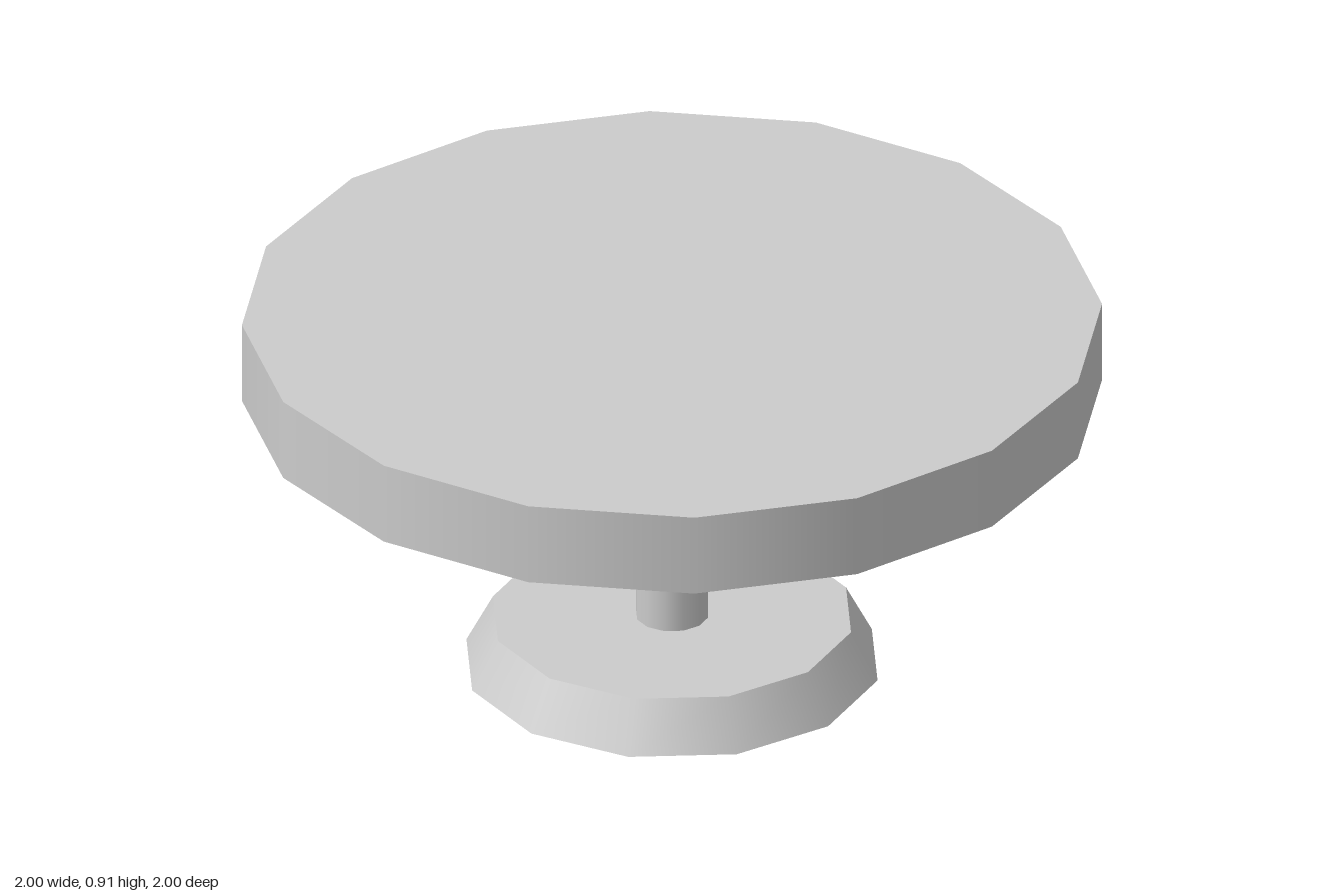
import * as THREE from 'three';

export function createModel() {
  const group = new THREE.Group();
  const solid = new THREE.MeshStandardMaterial({ color: 0xcccccc });
  const sheet = new THREE.MeshStandardMaterial({ color: 0xcccccc, side: THREE.DoubleSide });

  const add = (name, geometry, material, y) => {
    const mesh = new THREE.Mesh(geometry, material);
    mesh.name = name;
    mesh.position.y = y;
    group.add(mesh);
  };

  const baseHeight = 0.12, topBottom = 0.71, topHeight = 0.2;
  const columnRadius = 0.085, columnHeight = topBottom - baseHeight;

  // Thick sixteen-sided table top
  add('tableTop', new THREE.CylinderGeometry(1, 1, topHeight, 16), solid, topBottom + topHeight / 2);

  // Hollow column between base and top
  add('column', new THREE.CylinderGeometry(columnRadius, columnRadius, columnHeight, 12, 1, true),
    sheet, baseHeight + columnHeight / 2);

  // Flared foot, open underneath
  add('baseSkirt', new THREE.CylinderGeometry(0.425, 0.488, baseHeight, 12, 1, true), sheet, baseHeight / 2);

  // Foot plate with a hole where the column meets it
  add('basePlate', new THREE.RingGeometry(columnRadius, 0.425, 12).rotateX(-Math.PI / 2), sheet, baseHeight);

  return group;
}
